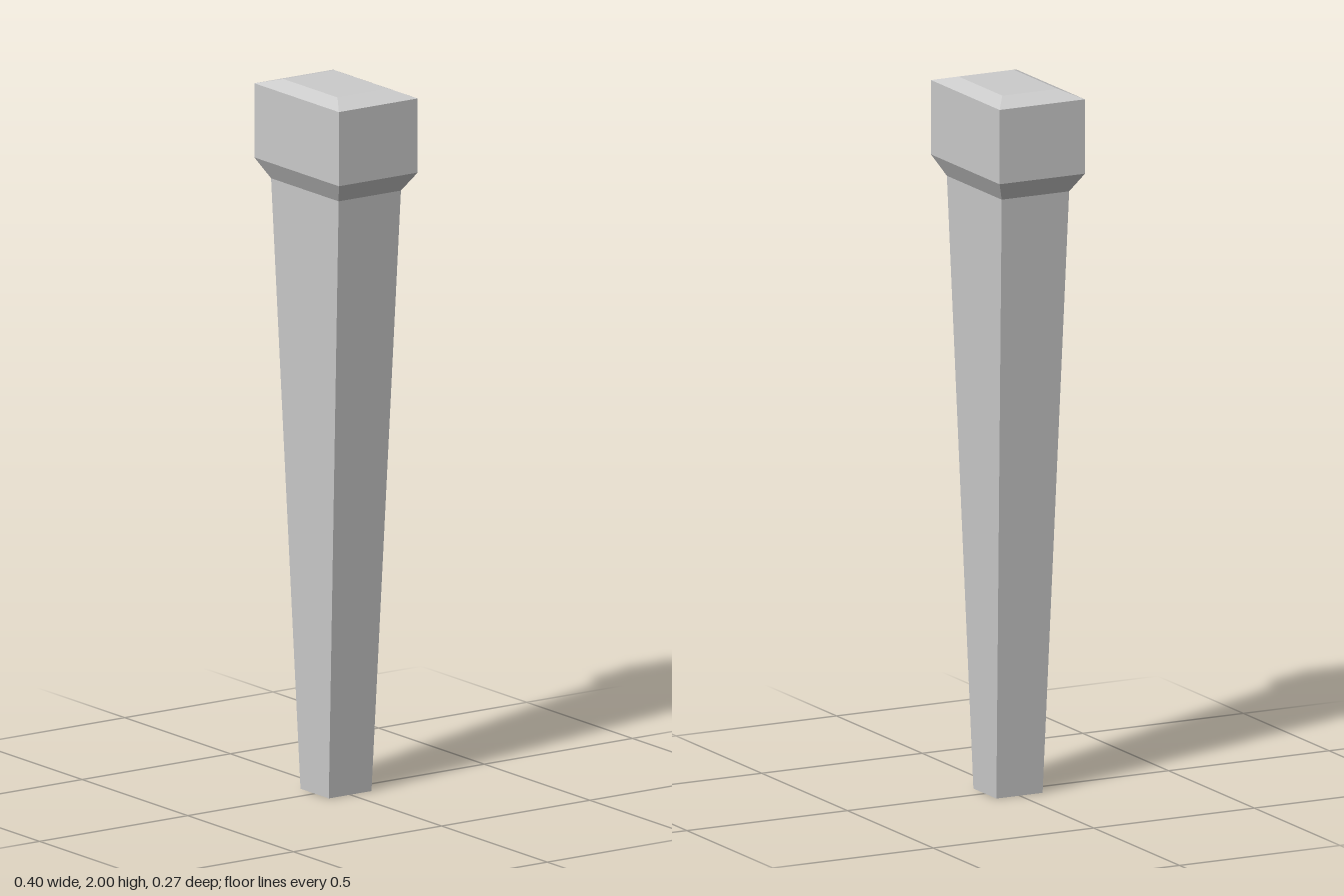
import * as THREE from 'three';

const material = new THREE.MeshStandardMaterial({ color: 0xcccccc, flatShading: true });

// Rectangular cross-sections [y, half width, half depth], joined bottom to top
function loft(name, sections, { capBottom = false, capTop = false } = {}) {
  const rings = sections.map(([y, w, d]) => [[-w, y, d], [w, y, d], [w, y, -d], [-w, y, -d]]);
  const positions = [];
  const quad = (a, b, c, d) => positions.push(...a, ...b, ...c, ...a, ...c, ...d);
  for (let i = 0; i < rings.length - 1; i++) {
    const low = rings[i], high = rings[i + 1];
    for (let k = 0; k < 4; k++) {
      const n = (k + 1) % 4;
      quad(low[k], low[n], high[n], high[k]);
    }
  }
  if (capBottom) quad(...[...rings[0]].reverse());
  if (capTop) quad(...rings[rings.length - 1]);

  const geometry = new THREE.BufferGeometry();
  geometry.setAttribute('position', new THREE.Float32BufferAttribute(positions, 3));
  geometry.computeVertexNormals();
  const mesh = new THREE.Mesh(geometry, material);
  mesh.name = name;
  return mesh;
}

export function createModel() {
  const group = new THREE.Group();
  group.name = 'taperedPost';

  const foot = [0, 0.067, 0.072];
  const neck = [1.715, 0.16, 0.105];
  const headBase = [1.77, 0.2, 0.133];
  const headRim = [1.98, 0.2, 0.133];
  const crown = [2, 0.128, 0.086];

  group.add(
    loft('shaft', [foot, neck], { capBottom: true }),
    loft('collar', [neck, headBase]), // flare under the head
    loft('head', [headBase, headRim]),
    loft('bevelledTop', [headRim, crown], { capTop: true }),
  );
  return group;
}
